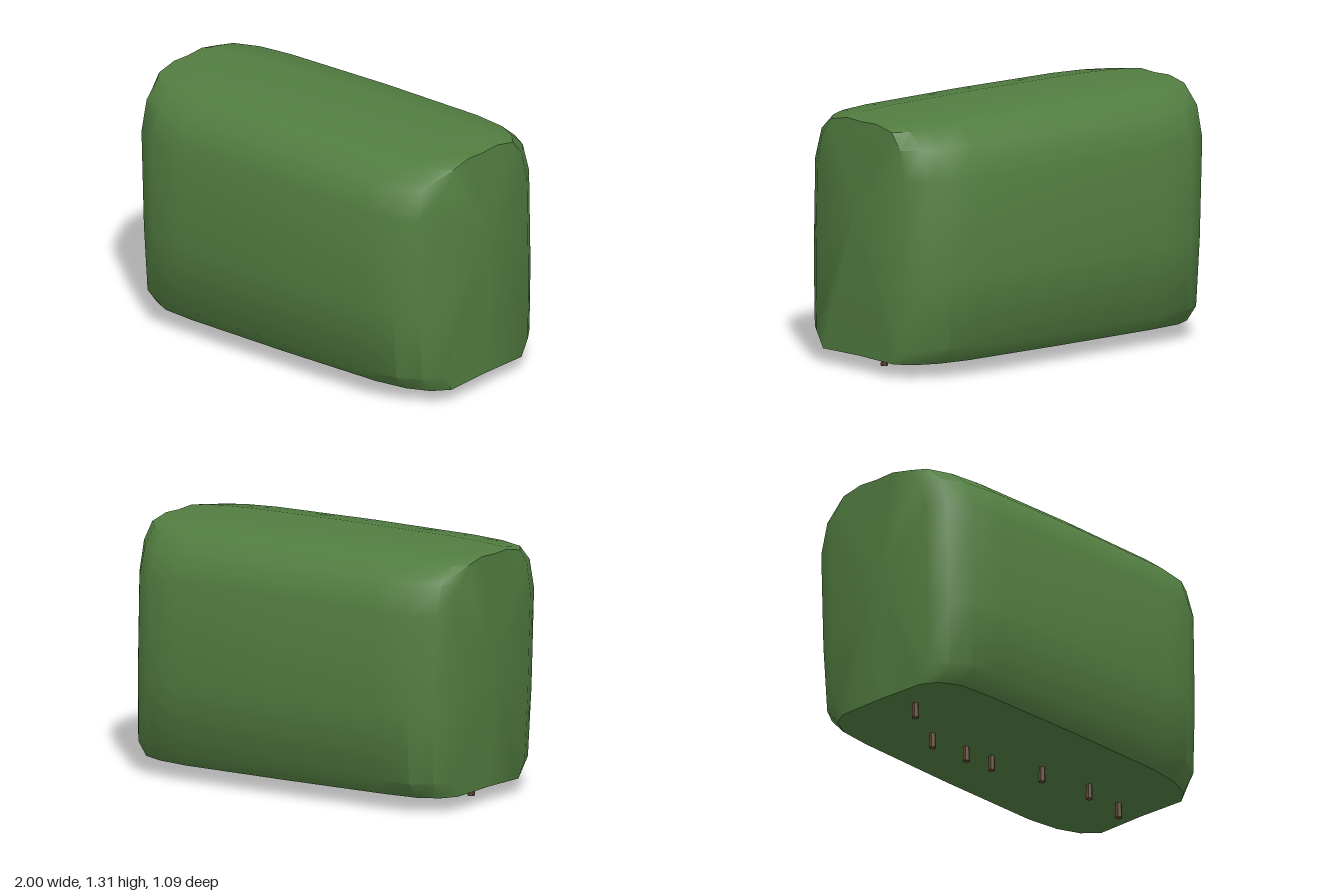
import * as THREE from 'three';
import { toCreasedNormals } from 'three/addons/utils/BufferGeometryUtils.js';

// Half profile of the clipped bush, bottom to top: [half depth, height]
const half = [[0.44, 0.075], [0.525, 0.16], [0.545, 0.52], [0.545, 1.04],
  [0.487, 1.2], [0.375, 1.285], [0.18, 1.31]];
const profile = [...half, [0, 1.305], ...half.map(([z, y]) => [-z, y]).reverse(), [0, 0.08]];

// Stations along the length: [x, half depth, height scale]
const stations = [[-0.98, 0.335, 0.995], [-0.93, 0.44, 0.997], [-0.81, 0.508, 1], [-0.62, 0.53, 1.003],
  [0, 0.545, 1.003], [0.61, 0.542, 0.998], [0.79, 0.51, 0.995], [0.9, 0.445, 0.993], [0.97, 0.345, 0.99]];

function foliageGeometry() {
  const n = profile.length, m = stations.length;
  const positions = [], index = [];
  stations.forEach(([x, depth, lift]) => {
    for (const [z, y] of profile) {
      // ends lean a little towards the left as they rise
      const lean = (x < -0.9 ? 0.02 : x > 0.85 ? 0.012 : 0) * (y - 0.65) / 0.65;
      positions.push(x - lean, y > 0.6 ? y * lift : y, z * depth / 0.545);
    }
  });
  positions.push(-1, 0.75, 0, 1, 0.85, 0);
  const leftCentre = m * n, rightCentre = leftCentre + 1, last = (m - 1) * n;
  for (let j = 0; j < n; j++) {
    const k = (j + 1) % n;
    for (let i = 0; i < m - 1; i++) {
      const a = i * n + j, b = a + n, c = (i + 1) * n + k, d = i * n + k;
      index.push(a, b, c, a, c, d);
    }
    index.push(leftCentre, j, k, rightCentre, last + k, last + j);
  }
  const geometry = new THREE.BufferGeometry();
  geometry.setAttribute('position', new THREE.Float32BufferAttribute(positions, 3));
  geometry.setIndex(index);
  return toCreasedNormals(geometry, 0.75);
}

export function createModel() {
  const hedge = new THREE.Group();
  hedge.name = 'hedge';

  const foliage = new THREE.Mesh(foliageGeometry(), new THREE.MeshStandardMaterial({ color: 0x527d41 }));
  foliage.name = 'foliage';
  hedge.add(foliage);

  // Short stems under the foliage: [x, z]
  const stems = new THREE.Group();
  stems.name = 'stems';
  const stemGeometry = new THREE.CylinderGeometry(0.015, 0.019, 0.12, 6);
  const bark = new THREE.MeshStandardMaterial({ color: 0x5e4736, flatShading: true });
  [[-0.8, 0.083], [-0.475, -0.1], [-0.24, -0.083], [-0.07, -0.065],
    [0.205, 0.03], [0.52, 0.065], [0.79, 0.02]].forEach(([x, z]) => {
    const stem = new THREE.Mesh(stemGeometry, bark);
    stem.name = 'stem';
    stem.position.set(x, 0.06, z);
    stems.add(stem);
  });
  hedge.add(stems);
  return hedge;
}
